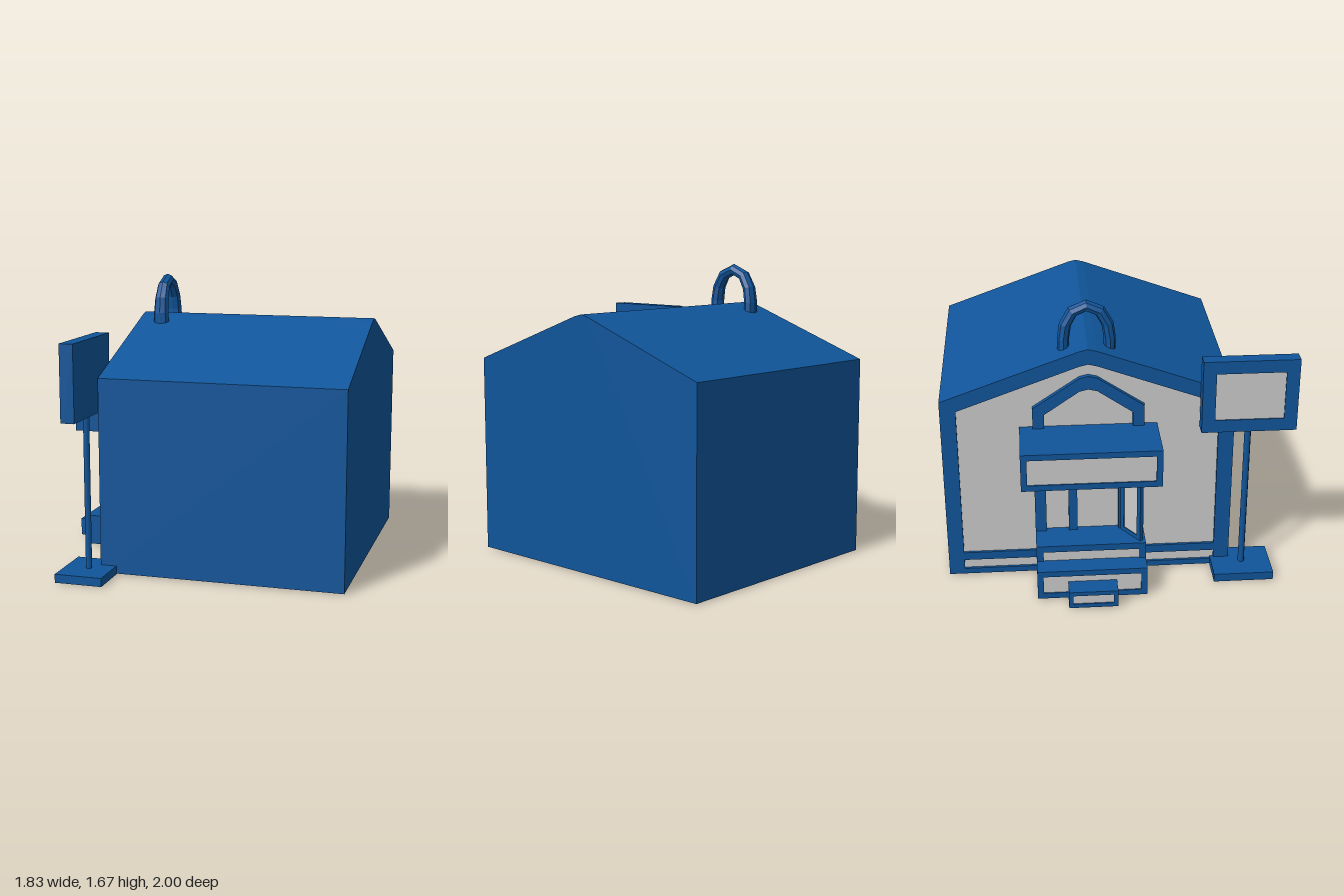
import * as THREE from 'three';

export function createModel() {
  const model = new THREE.Group();
  const blue = new THREE.MeshStandardMaterial({ color: 0x10559a });
  const flatBlue = new THREE.MeshStandardMaterial({ color: 0x10559a, flatShading: true });
  const grey = new THREE.MeshStandardMaterial({ color: 0xcccccc });

  const add = (name, geometry, material = blue, parent = model) => {
    const mesh = new THREE.Mesh(geometry, material);
    mesh.name = name;
    parent.add(mesh);
    return mesh;
  };
  const box = (name, x0, x1, y0, y1, z0, z1, material, parent) =>
    add(name, new THREE.BoxGeometry(x1 - x0, y1 - y0, z1 - z0), material, parent)
      .position.set((x0 + x1) / 2, (y0 + y1) / 2, (z0 + z1) / 2);

  // Extrudes a [z, y] outline between two x positions, with an optional hole
  const slab = (name, x0, x1, outline, hole, material, parent) => {
    const toPoints = (list) => list.map(([z, y]) => new THREE.Vector2(z, y));
    const shape = new THREE.Shape(toPoints(outline));
    if (hole) shape.holes.push(new THREE.Path(toPoints(hole)));
    const geometry = new THREE.ExtrudeGeometry(shape, { depth: x1 - x0, bevelEnabled: false });
    geometry.rotateY(-Math.PI / 2).translate(x1, 0, 0);
    return add(name, geometry, material, parent);
  };
  const rect = (z0, z1, y0, y1) => [[z0, y0], [z1, y0], [z1, y1], [z0, y1]];

  // Gabled outline with a slightly blunted ridge
  const mid = -0.17;
  const gable = (half, bottom, eave, peak) => [
    [mid - half, bottom], [mid + half, bottom], [mid + half, eave],
    [mid + 0.05, peak - 0.012], [mid, peak], [mid - 0.05, peak - 0.012], [mid - half, eave],
  ];

  // Box whose -x face is a grey panel sunk in a border
  const panelBox = (name, x0, x1, y0, y1, z0, z1, b) => {
    const group = new THREE.Group();
    group.name = name;
    model.add(group);
    box(name + 'Body', x0 + 0.015, x1, y0, y1, z0, z1, blue, group);
    slab(name + 'Border', x0, x0 + 0.015, rect(z0, z1, y0, y1),
      rect(z0 + b, z1 - b, y0 + b, y1 - b), blue, group);
    box(name + 'Panel', x0 + 0.007, x0 + 0.02, y0 + b, y1 - b, z0 + b, z1 - b, grey, group);
  };

  // House body, facade wall and its border
  slab('houseBody', -0.49, 0.91, gable(0.83, 0.005, 1.14, 1.435));
  slab('facadeWall', -0.5, -0.488, gable(0.77, 0.03, 1.1, 1.36), null, grey);
  slab('facadeBorder', -0.515, -0.49, gable(0.83, 0.005, 1.14, 1.435),
    gable(0.74, 0.04, 1.08, 1.345));

  // Peaked entrance arch and the skirting bars beside it
  slab('entranceArch', -0.53, -0.49, gable(0.315, 0.01, 1.09, 1.28),
    gable(0.25, 0.1, 1.05, 1.2));
  box('skirtingBack', -0.515, -0.49, 0.1, 0.15, -0.92, -0.48);
  box('skirtingFront', -0.515, -0.49, 0.1, 0.15, 0.14, 0.58);

  // Doorway posts and the open door
  box('doorPost', -0.53, -0.49, 0.28, 0.75, -0.29, -0.24);
  box('doorPost', -0.53, -0.49, 0.28, 0.75, 0.0, 0.05);
  const door = new THREE.Group();
  door.name = 'openDoor';
  door.position.set(-0.53, 0.29, 0.02);
  door.rotation.y = Math.atan2(-0.1, -0.14) + Math.PI + Math.PI / 2;
  model.add(door);
  const leaf = new THREE.Group();
  leaf.name = 'doorLeaf';
  // Local +x runs from the hinge to the free edge
  door.rotation.y = Math.atan2(-0.1, -0.14);
  door.add(leaf);
  box('doorStile', 0, 0.03, 0, 0.44, -0.012, 0.012, blue, leaf);
  box('doorStile', 0.145, 0.175, 0, 0.44, -0.012, 0.012, blue, leaf);
  box('doorRail', 0.03, 0.145, 0, 0.025, -0.012, 0.012, blue, leaf);
  box('doorRail', 0.03, 0.145, 0.415, 0.44, -0.012, 0.012, blue, leaf);
  box('doorBacking', 0.03, 0.145, 0.025, 0.415, 0, 0.012, blue, leaf);
  box('doorPanel', 0.03, 0.145, 0.025, 0.415, -0.006, 0.001, grey, leaf);
  // The panelled side faces the entrance
  leaf.scale.z = -1;

  // Steps and shop board
  panelBox('topStep', -0.7, -0.49, 0.01, 0.29, -0.485, 0.145, 0.04);
  panelBox('middleStep', -0.81, -0.49, 0.01, 0.19, -0.485, 0.145, 0.035);
  panelBox('bottomStep', -0.915, -0.8, 0.01, 0.115, -0.31, -0.03, 0.025);
  panelBox('shopBoard', -0.835, -0.49, 0.74, 0.965, -0.56, 0.22, 0.035);

  // Free-standing sign
  panelBox('sign', -0.6, -0.52, 0.94, 1.375, 0.46, 1.0, 0.075);
  add('signPost', new THREE.CylinderGeometry(0.019, 0.019, 0.92, 8), blue)
    .position.set(-0.56, 0.5, 0.73);
  box('signBase', -0.7, -0.42, 0, 0.05, 0.55, 0.9);

  // Hanging loop on the ridge, widening towards its feet
  const path = new THREE.CurvePath();
  const points = [[-0.13, 1.36], [-0.125, 1.5], [-0.085, 1.595], [0, 1.637],
    [0.085, 1.595], [0.125, 1.5], [0.13, 1.36]].map(([z, y]) => new THREE.Vector3(0, y, z));
  const curve = new THREE.CatmullRomCurve3(points, false, 'centripetal');
  const loop = new THREE.TubeGeometry(curve, 8, 0.034, 8, false);
  const pos = loop.attributes.position;
  for (let i = 0; i < pos.count; i++) {
    const t = THREE.MathUtils.clamp((1.67 - pos.getY(i)) / 0.28, 0, 1);
    pos.setX(i, pos.getX(i) * (1 + 0.45 * t));
  }
  loop.computeVertexNormals();
  add('hangingLoop', loop, flatBlue).position.set(-0.37, 0, mid);

  return model;
}
